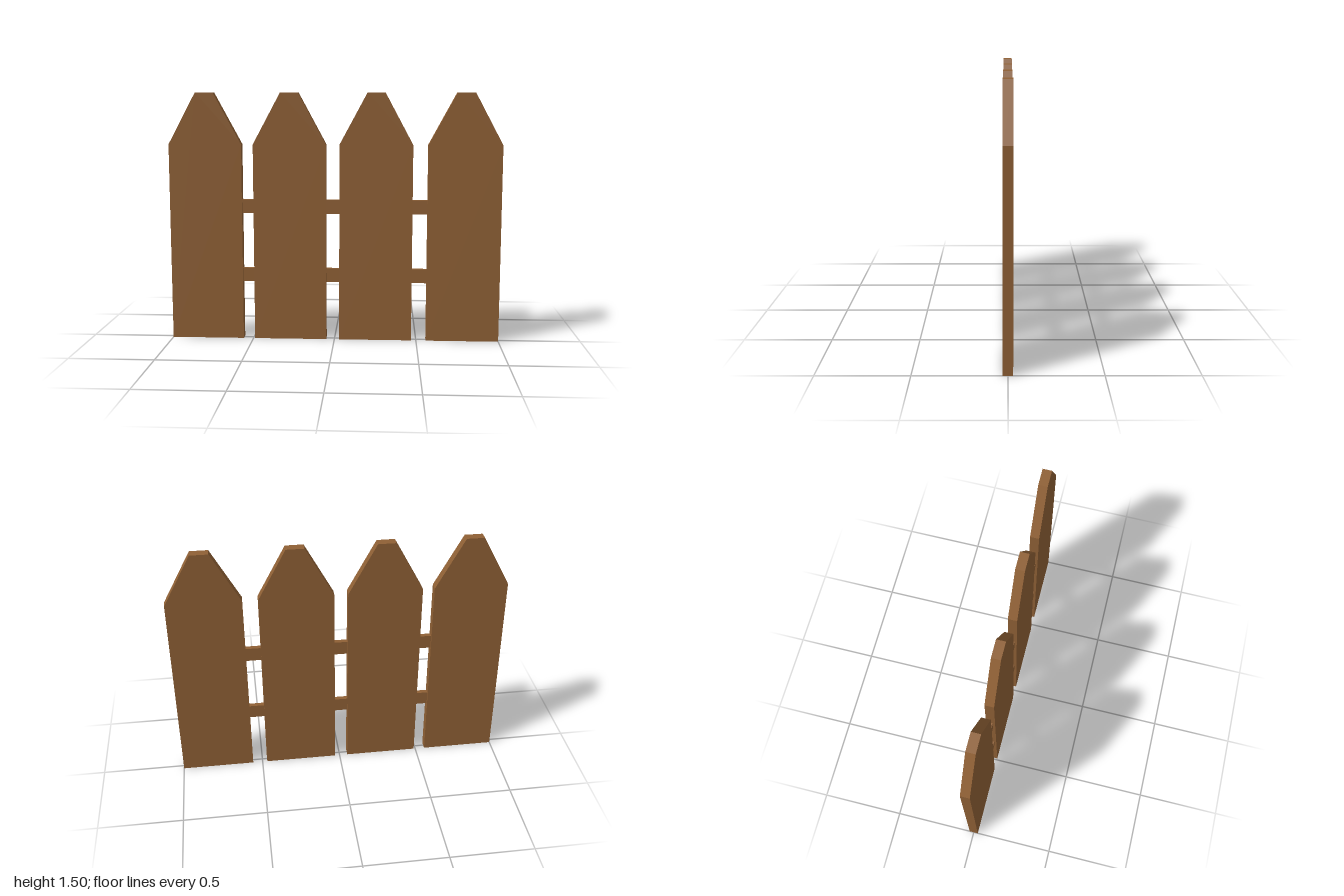
import * as THREE from 'three';

export function createModel() {
  const fence = new THREE.Group();
  fence.name = 'picketFence';
  const wood = new THREE.MeshStandardMaterial({ color: 0x8f6035 });
  wood.name = 'brown wood';

  // Picket board: straight sides, sloped shoulders and a flat tip
  const depth = 0.054;
  const outline = new THREE.Shape([
    [-0.22, 0], [0.22, 0], [0.22, 1.195], [0.053, 1.505], [-0.053, 1.505], [-0.22, 1.195],
  ].map(([x, y]) => new THREE.Vector2(x, y)));
  const board = new THREE.ExtrudeGeometry(outline, { depth, bevelEnabled: false });
  board.translate(0, 0, -depth / 2);

  const centres = [-0.78, -0.27, 0.25, 0.78];
  centres.forEach((x, i) => {
    const picket = new THREE.Mesh(board, wood);
    picket.name = `picket${i + 1}`;
    picket.position.x = x;
    fence.add(picket);
  });

  // Thin rails running through the boards, ending inside the outer pickets
  const railGeometry = new THREE.BoxGeometry(1.2, 0.084, 0.028);
  [['lowerRail', 0.398], ['upperRail', 0.82]].forEach(([name, y]) => {
    const rail = new THREE.Mesh(railGeometry, wood);
    rail.name = name;
    rail.position.y = y;
    fence.add(rail);
  });

  return fence;
}
